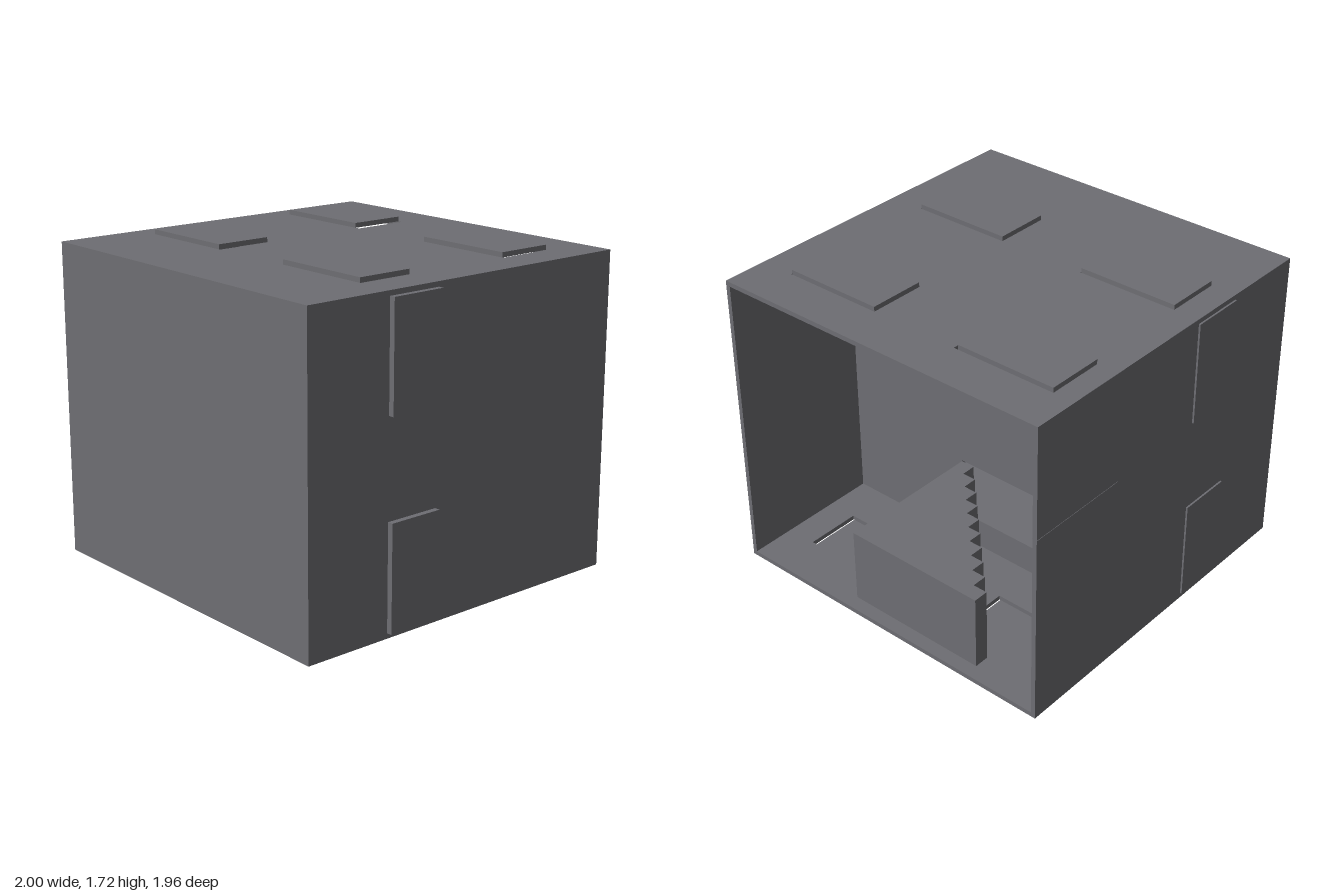
import * as THREE from 'three';

const material = new THREE.MeshStandardMaterial({ color: 0x6e6e73, flatShading: true });

// Rectangle [a0, a1, b0, b1] as points
const corners = ([a0, a1, b0, b1]) => [[a0, b0], [a1, b0], [a1, b1], [a0, b1]]
  .map(([a, b]) => new THREE.Vector2(a, b));

// Flat slab with rectangular openings, extruded along +z
function slab(rect, holes, depth) {
  const shape = new THREE.Shape(corners(rect));
  for (const h of holes) shape.holes.push(new THREE.Path(corners(h).reverse()));
  return new THREE.ExtrudeGeometry(shape, { depth, bevelEnabled: false });
}

export function createModel() {
  const group = new THREE.Group();
  const add = (name, geometry) => {
    const mesh = new THREE.Mesh(geometry, material);
    mesh.name = name;
    group.add(mesh);
  };
  const L = -0.99, R = 0.97, B = -0.98, F = 0.98, Y0 = 0.018, Y1 = 1.692, T = 0.025;

  // Lying slabs are drawn in (x, -z), side slabs in (-z, y)
  const lying = (rect, holes, y, h) => slab(rect, holes, h).rotateX(-Math.PI / 2).translate(0, y, 0);
  const upright = (rect, holes, x, d) => slab(rect, holes, d).rotateY(Math.PI / 2).translate(x, 0, 0);

  // Floor and roof: plates with four openings, each covered by an outer panel
  // that leaves a hairline gap on its left edge
  const floorPads = [], roofPads = [], holes = [];
  for (const [b0, b1] of [[-0.5, -0.195], [0.42, 0.73]]) {
    for (const [a0, a1] of [[-0.85, -0.294], [0.213, 0.768]]) {
      floorPads.push([a0, a1, b0, b1]);
      // The rear right roof panel is shifted, leaving a wider slot
      const shift = a0 < 0 && b0 > 0 ? 0.02 : 0;
      roofPads.push([a0 - shift, a1 - shift, b0, b1]);
      holes.push([a0, a1 + 0.006, b0, b1]);
    }
  }
  const plan = [L, R, -F, -B];
  add('floor', lying(plan, holes, Y0, T));
  add('roof', lying(plan, holes, Y1 - T, T));
  for (const p of floorPads) add('floorPanel', lying(p, [], 0, Y0));
  for (const p of roofPads) add('roofPanel', lying(p, [], Y1, 0.026));

  // Side walls with two panels each
  const sidePads = [[-0.5, -0.2, 0.046, 0.6], [-0.5, -0.2, 1.11, 1.666]];
  const side = [-F, -B, Y0 + T, Y1 - T];
  add('leftWall', upright(side, sidePads, R - T, T));
  add('rightWall', upright(side, sidePads, L, T));
  for (const p of sidePads) {
    add('leftPanel', upright(p, [], R, 0.03));
    add('rightPanel', upright(p, [], L - 0.01, 0.01));
  }

  // Hairline seam in the right wall, running in from the open back
  add('wallSeam', upright([0.39, -B, 1.083, 1.086], [], L - 0.002, T + 0.004));

  // Closed front and inner partition with a low opening; the back stays open
  const inner = [L + T, R - T, Y0 + T, Y1 - T];
  add('frontWall', slab(inner, [], T).translate(0, 0, F - T));
  add('partition', slab(inner, [[-0.62, 0.185, 0.21, 0.55]], T).translate(0, 0, -0.168));

  // Stair block lying on its side, stepped in plan
  const steps = 10, x0 = -0.62, x1 = 0.185, dx = (x1 - x0) / steps, dz = 0.812 / steps;
  const stair = new THREE.Shape();
  stair.moveTo(x1, -B);
  for (let i = 0; i < steps; i++) {
    stair.lineTo(x0 + i * dx, -B - i * dz);
    stair.lineTo(x0 + i * dx, -B - (i + 1) * dz);
  }
  stair.lineTo(x1, -B - steps * dz);
  add('stairs', new THREE.ExtrudeGeometry(stair, { depth: 0.41, bevelEnabled: false })
    .rotateX(-Math.PI / 2).translate(0, 0.135, 0));

  return group;
}
